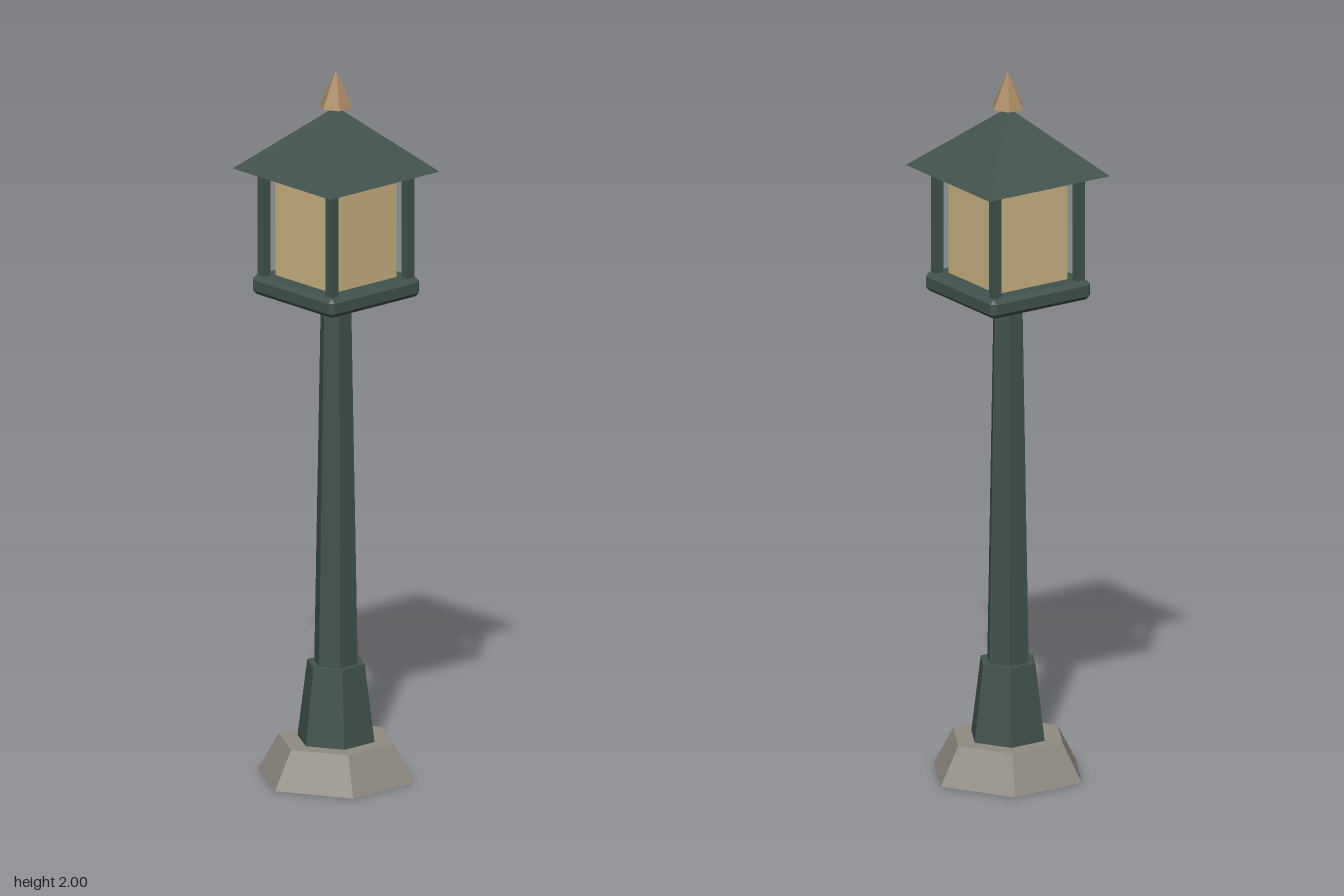
import * as THREE from 'three';
import { ConvexGeometry } from 'three/addons/geometries/ConvexGeometry.js';

const makeMaterial = (name, color) => {
  const m = new THREE.MeshStandardMaterial({ color, flatShading: true });
  m.name = name;
  return m;
};

// Box with every edge cut by b
function chamferedBox(w, h, d, b) {
  const points = [];
  for (const sx of [-1, 1]) for (const sy of [-1, 1]) for (const sz of [-1, 1]) {
    const [x, y, z] = [w / 2, h / 2, d / 2];
    for (const p of [[x, y - b, z - b], [x - b, y, z - b], [x - b, y - b, z]]) {
      points.push(new THREE.Vector3(p[0] * sx, p[1] * sy, p[2] * sz));
    }
  }
  return new ConvexGeometry(points);
}

export function createModel() {
  const group = new THREE.Group();
  group.name = 'lampPost';
  const iron = makeMaterial('dark green iron', 0x41534d);
  const stone = makeMaterial('grey stone', 0x918c82);
  const glass = makeMaterial('warm glass', 0xcbb482);
  const brass = makeMaterial('brass', 0xa98a63);

  const add = (name, geometry, material, x, y, z) => {
    const mesh = new THREE.Mesh(geometry, material);
    mesh.name = name;
    mesh.position.set(x, y, z);
    group.add(mesh);
    return mesh;
  };
  // Tapered prism standing between two heights
  const prism = (name, material, rBottom, rTop, y0, y1, sides = 6) =>
    add(name, new THREE.CylinderGeometry(rTop, rBottom, y1 - y0, sides), material, 0, (y0 + y1) / 2, 0);

  // Hexagonal foot and column
  prism('stoneFoot', stone, 0.222, 0.164, 0, 0.105);
  prism('columnBase', iron, 0.11, 0.082, 0.105, 0.322);
  prism('column', iron, 0.062, 0.043, 0.322, 1.365);

  // Lantern
  add('lanternTray', chamferedBox(0.33, 0.054, 0.33, 0.012), iron, 0, 1.388, 0);
  add('lanternGlass', new THREE.BoxGeometry(0.232, 0.285, 0.232), glass, 0, 1.552, 0);
  for (const sx of [-1, 1]) for (const sz of [-1, 1]) {
    add('cornerPost', new THREE.BoxGeometry(0.025, 0.31, 0.025), iron, sx * 0.138, 1.562, sz * 0.138);
  }

  // Pyramid roof and finial
  const roof = add('roof', new THREE.ConeGeometry(0.199 * Math.SQRT2, 0.18, 4), iron, 0, 1.805, 0);
  roof.rotation.y = Math.PI / 4;
  add('finial', new THREE.ConeGeometry(0.047, 0.105, 6), brass, 0, 1.9475, 0);

  return group;
}
